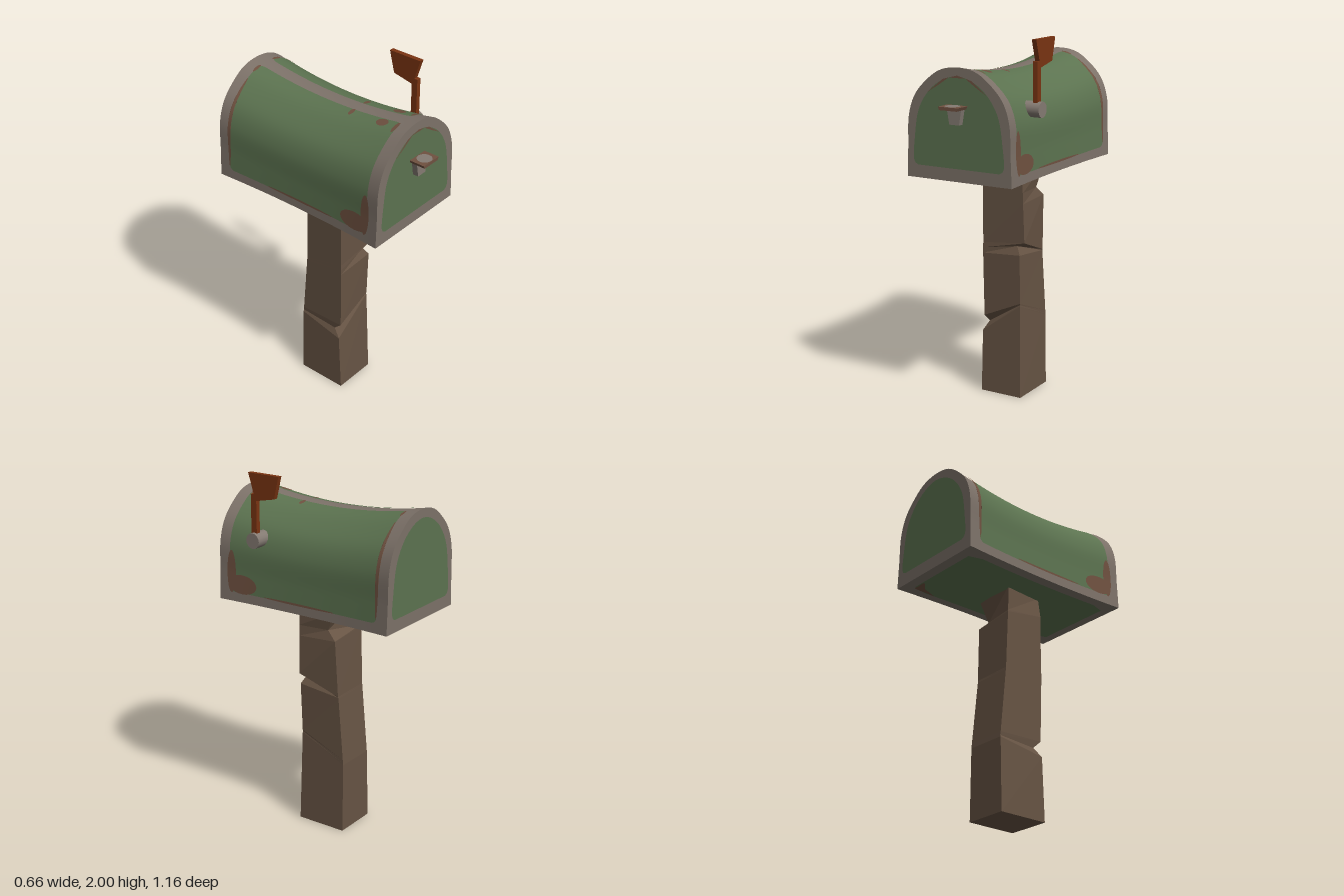
import * as THREE from 'three';

const CX = -0.015, FLOOR = 1.28, Z0 = -0.58, Z1 = 0.49;

const material = (name, color, side = THREE.FrontSide) => {
  const m = new THREE.MeshStandardMaterial({ color, side });
  m.name = name;
  return m;
};

// Mirrors a half outline (left to centre) into a full one
const mirrored = (half) => [...half, ...half.slice(0, -1).reverse().map(([x, y]) => [-x, y])];
const spline = (pts) => new THREE.CatmullRomCurve3(pts.map(([x, y]) => new THREE.Vector3(x, y, 0)));

// Arched cross-section, measured from the floor centre
const section = spline(mirrored([
  [-0.315, 0], [-0.308, 0.16], [-0.3, 0.325], [-0.262, 0.43], [-0.19, 0.51], [-0.105, 0.567], [0, 0.585],
]));
// The body pinches in and sags towards its middle
const sag = (z) => 1 - ((z - (Z0 + Z1) / 2) / ((Z1 - Z0) / 2)) ** 2;
const widthScale = (z) => 1 - 0.06 * sag(z);

// Point on the body: s = -1 left foot, 0 ridge, 1 right foot
function bodyPoint(s, z) {
  const p = section.getPointAt(THREE.MathUtils.clamp((s + 1) / 2, 0, 1));
  return new THREE.Vector3(CX + p.x * widthScale(z), FLOOR + p.y * (1 - 0.094 * sag(z)), z);
}

// Patch lying on the body, lifted by a small offset; range(z) gives its s limits
function bodyPatch(range, z0, z1, ns, nz, lift) {
  const pos = [], index = [];
  for (let i = 0; i <= nz; i++) {
    const z = (z0 + z1) / 2 - Math.cos((Math.PI * i) / nz) * (z1 - z0) / 2;
    const [a, b] = range(z);
    for (let j = 0; j <= ns; j++) {
      const s = a + ((b - a) * j) / ns;
      const p = bodyPoint(s, z);
      if (lift) {
        const ds = bodyPoint(s + 0.01, z).sub(bodyPoint(s - 0.01, z));
        const dz = bodyPoint(s, z + 0.01).sub(bodyPoint(s, z - 0.01));
        p.addScaledVector(dz.cross(ds).normalize(), lift);
      }
      pos.push(p.x, p.y, p.z);
      if (i < nz && j < ns) {
        const k = i * (ns + 1) + j, n = k + ns + 1;
        index.push(k, n, k + 1, n, n + 1, k + 1);
      }
    }
  }
  const g = new THREE.BufferGeometry();
  g.setAttribute('position', new THREE.Float32BufferAttribute(pos, 3));
  g.setIndex(index);
  g.computeVertexNormals();
  return g;
}

// Limits for a rounded rectangle and for an oval
const rounded = (s0, s1, z0, z1, r) => (z) => {
  const d = Math.max(0, r - Math.min(z - z0, z1 - z));
  const inset = (r - Math.sqrt(Math.max(0, r * r - d * d))) / 0.76;
  return [s0 + inset, s1 - inset];
};
const oval = (s0, s1, z0, z1) => (z) => {
  const t = (2 * z - z0 - z1) / (z1 - z0);
  const h = ((s1 - s0) / 2) * Math.sqrt(Math.max(0, 1 - t * t));
  return [(s0 + s1) / 2 - h, (s0 + s1) / 2 + h];
};

const shapeOf = (pts) => new THREE.Shape(pts.map(([x, y]) => new THREE.Vector2(x, y)));

// Floor outline following the pinched sides
function floorShape(inset) {
  const pts = [], n = 12, c = inset * 0.5;
  for (const side of [1, -1]) {
    for (let i = 0; i <= n; i++) {
      const t = side > 0 ? i / n : 1 - i / n;
      const z = THREE.MathUtils.lerp(Z0 + inset, Z1 - inset, t);
      const corner = i === 0 || i === n ? c : 0;
      pts.push([side * (0.315 * widthScale(z) - inset - corner), z]);
    }
  }
  return shapeOf(pts);
}

// Post rings, each: front left, front right, back right, back left
const POST = [
  [-0.13, 0, 0.095, 0.12, 0, 0.095, 0.12, 0, -0.195, -0.13, 0, -0.195],
  [-0.13, 0.35, 0.08, 0.11, 0.525, 0.083, 0.115, 0.4, -0.195, -0.12, 0.4, -0.195],
  [-0.112, 0.395, 0.035, 0.109, 0.532, 0.081, 0.115, 0.41, -0.194, -0.115, 0.41, -0.194],
  [-0.117, 0.44, 0.083, 0.11, 0.54, 0.083, 0.115, 0.43, -0.192, -0.117, 0.43, -0.192],
  [-0.12, 0.8, 0.09, 0.113, 0.815, 0.092, 0.112, 0.782, -0.16, -0.118, 0.78, -0.16],
  [-0.12, 0.83, 0.09, 0.085, 0.86, 0.07, 0.112, 0.788, -0.159, -0.118, 0.79, -0.159],
  [-0.12, 0.86, 0.088, 0.137, 0.885, 0.083, 0.114, 0.794, -0.158, -0.118, 0.8, -0.158],
  [-0.12, 1.1, 0.088, 0.13, 1.1, 0.086, 0.125, 1.11, -0.145, -0.12, 1.13, -0.147],
  [-0.12, 1.17, 0.088, 0.128, 1.16, 0.086, 0.11, 1.16, -0.09, -0.119, 1.14, -0.146],
  [-0.1, 1.29, 0.088, 0.125, 1.29, 0.086, 0.122, 1.27, -0.14, -0.118, 1.29, -0.14],
];

function postGeometry() {
  const index = [], top = (POST.length - 1) * 4;
  for (let r = 0; r < POST.length - 1; r++) {
    for (let c = 0; c < 4; c++) {
      const a = r * 4 + c, b = r * 4 + ((c + 1) % 4);
      index.push(a, b, b + 4, a, b + 4, a + 4);
    }
  }
  index.push(0, 2, 1, 0, 3, 2, top, top + 1, top + 2, top, top + 2, top + 3);
  let g = new THREE.BufferGeometry();
  g.setAttribute('position', new THREE.Float32BufferAttribute(POST.flat(), 3));
  g.setIndex(index);
  g = g.toNonIndexed();
  g.computeVertexNormals();
  return g;
}

export function createModel() {
  const model = new THREE.Group();
  model.name = 'mailbox';
  const green = material('green paint', 0x5c7350);
  const trim = material('bare metal trim', 0x7d7269);
  const rust = material('rust', 0x6f5140);
  const wood = material('post wood', 0x675444);
  const red = material('flag red', 0x7a3412);
  const metal = material('hinge metal', 0x857b73);

  const add = (name, geometry, mat, x = 0, y = 0, z = 0) => {
    const mesh = new THREE.Mesh(geometry, mat);
    mesh.name = name;
    mesh.position.set(x, y, z);
    model.add(mesh);
    return mesh;
  };

  add('post', postGeometry(), wood);

  // Arched body and its painted side panels
  add('body', bodyPatch(() => [-1, 1], Z0, Z1, 64, 24, 0), trim);
  const rustSpots = [
    [0.79, 0.935, 0.25, 0.435], [0.62, 0.935, 0.385, 0.44], [0.06, 0.13, 0.29, 0.36],
    [0.05, 0.12, 0.11, 0.135], [0.06, 0.09, -0.2, 0.16], [0.06, 0.16, 0.405, 0.428],
    [0.2, 0.9, -0.523, -0.503], [0.06, 0.14, -0.522, -0.505], [0.915, 0.932, -0.25, 0.2],
  ];
  for (const side of [-1, 1]) {
    const span = (a, b) => (side > 0 ? [a, b] : [-b, -a]);
    const label = side > 0 ? 'left' : 'right';
    add(label + 'SidePanel', bodyPatch(rounded(...span(0.053, 0.928), -0.515, 0.425, 0.03), -0.515, 0.425, 32, 28, 0.003), green);
    rustSpots.forEach(([a, b, z0, z1], i) =>
      add(label + 'RustSpot' + i, bodyPatch(oval(...span(a, b), z0, z1), z0, z1, 12, 12, i === 4 ? 0.002 : 0.005), rust));
  }

  // Flat ends with painted panels
  const endShape = shapeOf(section.getSpacedPoints(64).map((p) => [p.x, p.y]));
  const panelShape = shapeOf(spline(mirrored([
    [-0.245, 0.068], [-0.268, 0.085], [-0.262, 0.22], [-0.235, 0.36], [-0.17, 0.46], [-0.085, 0.52], [0, 0.54],
  ])).getSpacedPoints(60).map((p) => [p.x, p.y]));
  const crescent = shapeOf([
    [-0.18, 0.45], [-0.085, 0.523], [0, 0.545], [0.085, 0.523], [0.18, 0.45],
    [0.11, 0.492], [0.05, 0.532], [-0.05, 0.532], [-0.11, 0.492],
  ].reverse());
  for (const [label, z, dir] of [['front', Z1, 1], ['back', Z0, -1]]) {
    const plates = [['End', endShape, trim, 0], ['Panel', panelShape, green, 0.003]];
    if (dir > 0) plates.push(['RustCrescent', crescent, rust, 0.005]);
    for (const [part, shape, mat, lift] of plates) {
      const plate = add(label + part, new THREE.ShapeGeometry(shape), mat, CX, FLOOR, z + dir * lift);
      if (dir < 0) plate.rotation.y = Math.PI;
    }
  }

  // Underside
  const under = (shape) => new THREE.ShapeGeometry(shape).rotateX(Math.PI / 2);
  add('floor', under(floorShape(0)), trim, CX, FLOOR, 0);
  add('floorPanel', under(floorShape(0.055)), green, CX, FLOOR - 0.003, 0);
  add('floorRust', under(shapeOf([[0.15, -0.52], [0.24, -0.52], [0.245, -0.38], [0.21, -0.47]])), rust, CX, FLOOR - 0.005, 0);

  // Door pull: tapered bracket below a wider lip
  const tapered = (wTop, wBottom, h, d) => {
    const g = new THREE.BoxGeometry(1, h, d), p = g.attributes.position;
    for (let i = 0; i < p.count; i++) p.setX(i, p.getX(i) * (p.getY(i) > 0 ? wTop : wBottom));
    g.computeVertexNormals();
    return g;
  };
  add('pullBracket', tapered(0.088, 0.058, 0.085, 0.035), metal, CX, 1.622, Z1 + 0.0175);
  add('pullLip', tapered(0.12, 0.105, 0.017, 0.09), rust, CX, 1.667, 0.535);
  const wear = add('pullWear', new THREE.CircleGeometry(0.04, 16), metal, CX, 1.677, 0.538);
  wear.rotation.x = -Math.PI / 2;

  // Signal flag on its hinge
  const hinge = add('flagHinge', new THREE.CylinderGeometry(0.042, 0.042, 0.1, 16), metal, 0.28, 1.645, 0.235);
  hinge.rotation.z = Math.PI / 2;
  add('flagArm', new THREE.BoxGeometry(0.026, 0.25, 0.035), red, 0.298, 1.765, 0.238);
  const flag = new THREE.ExtrudeGeometry(
    shapeOf([[-0.27, 2], [-0.225, 1.855], [-0.105, 1.88], [-0.075, 2]]), { depth: 0.026, bevelEnabled: false });
  add('flag', flag.rotateY(Math.PI / 2), red, 0.285);

  return model;
}
